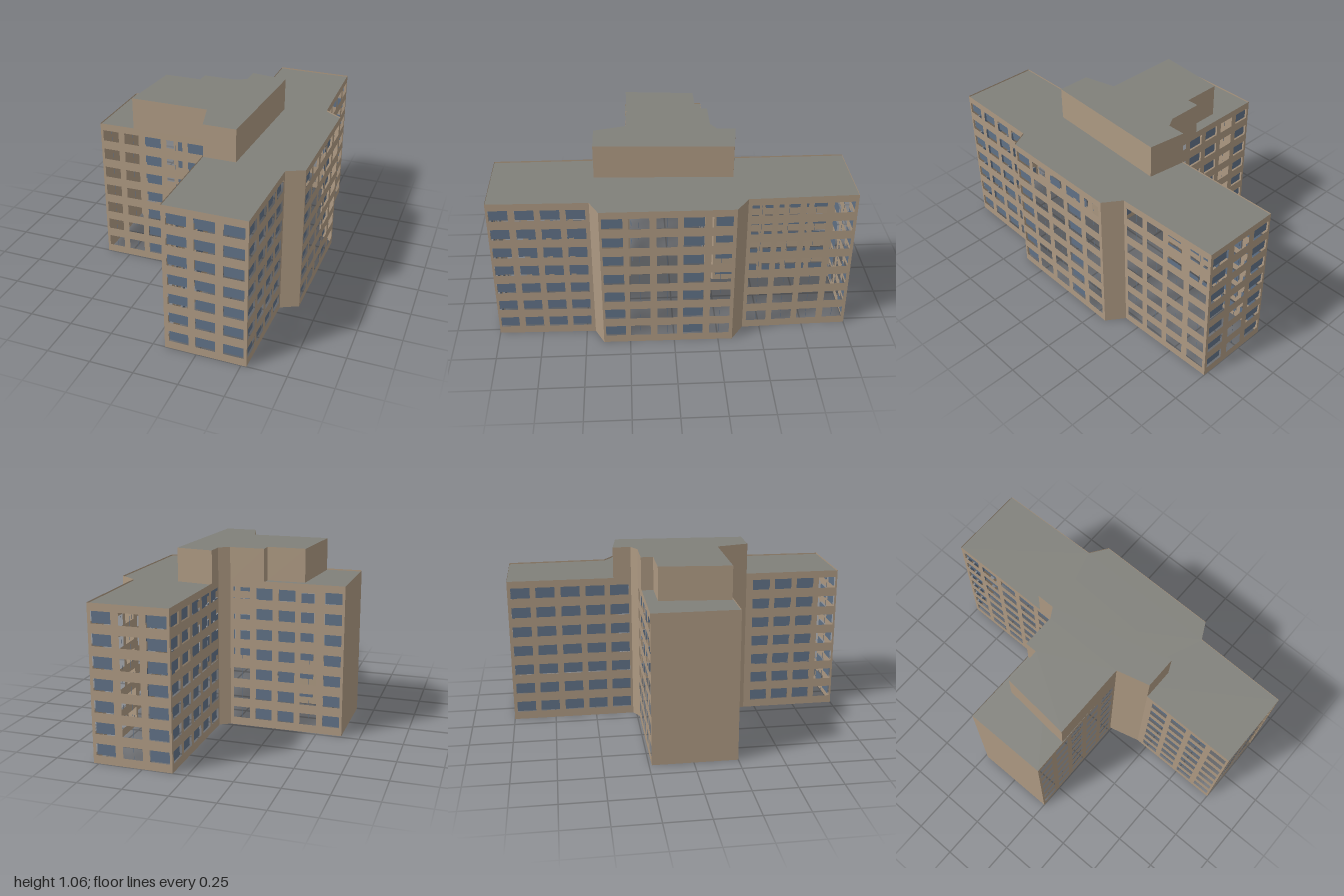
import * as THREE from 'three';

const DS = THREE.DoubleSide;
const H = 0.875, TOP = 1.06, LIP = 0.008, RECESS = 0.012;

// Windows repeat over seven storeys
const FLOORS = 7, SILL = 0.047, WIN_H = 0.066, PITCH = 0.12;

// Footprint corners [x, z], with the windows of the wall that starts there:
// at = column centres along the wall, w = width, open = columns without glass
const FOOTPRINT = [
  { p: [-0.645, 0.25], name: 'stemFrontWall', at: [0.064, 0.199, 0.331, 0.464, 0.596], w: 0.098, open: [0, 1, 3] },
  { p: [0.02, 0.24], name: 'frontInnerChamfer' },
  { p: [0.07, 0.43], name: 'frontWingInnerWall', at: [0.094, 0.23, 0.367, 0.506], w: 0.104, open: [3] },
  { p: [0.07, 1.0], name: 'frontEndWall', at: [0.08, 0.231, 0.386], w: 0.112 },
  { p: [0.53, 1.0], name: 'frontWingOuterWall', at: [0.064, 0.203, 0.34, 0.476], w: 0.104 },
  { p: [0.54, 0.45], name: 'frontOuterChamfer' },
  { p: [0.64, 0.4], name: 'bayWall', at: [0.069, 0.21, 0.36, 0.504, 0.654], w: 0.112, open: [1, 2, 4] },
  { p: [0.645, -0.33], name: 'backOuterChamfer' },
  { p: [0.545, -0.4], name: 'backWingOuterWall', at: [0.078, 0.225, 0.373, 0.525], w: 0.114, open: [0, 1, 2, 3] },
  { p: [0.53, -1.0], name: 'backEndWall', at: [0.074, 0.229, 0.38], w: 0.112, open: [1] },
  { p: [0.08, -1.0], name: 'backWingInnerWall', at: [0.075, 0.22, 0.368, 0.515, 0.66], w: 0.112 },
  { p: [0.08, -0.27], name: 'backInnerChamfer' },
  { p: [0.02, -0.235], name: 'stemBackWall', at: [0.069, 0.201, 0.334, 0.466, 0.601], w: 0.098, open: [1 - 1, 3] },
  { p: [-0.645, -0.235], name: 'stemEndWall' },
];

const PENTHOUSE = [
  [-0.435, 0.242], [0.02, 0.24], [0.07, 0.43], [0.26, 0.43], [0.295, -0.345], [0.08, -0.375],
  [0.08, -0.27], [0.02, -0.235], [-0.18, -0.235], [-0.18, -0.165], [-0.4, -0.165],
];

function rect(x0, y0, x1, y1) {
  return new THREE.Shape([[x0, y0], [x1, y0], [x1, y1], [x0, y1]].map(([x, y]) => new THREE.Vector2(x, y)));
}

export function createModel() {
  const wallMat = new THREE.MeshStandardMaterial({ color: 0xad9982, side: DS });
  wallMat.name = 'tan wall';
  const roofMat = new THREE.MeshStandardMaterial({ color: 0x80807a, side: DS });
  roofMat.name = 'grey roof';
  const glassMat = new THREE.MeshStandardMaterial({ color: 0x607186, side: DS });
  glassMat.name = 'blue glass';

  const model = new THREE.Group();
  model.name = 'building';

  function add(parent, name, geometry, material) {
    const mesh = new THREE.Mesh(geometry, material);
    mesh.name = name;
    parent.add(mesh);
    return mesh;
  }

  // Thin wall from a to b with window holes, and glass set behind it
  function wall(name, a, b, y0, y1, { at = [], w = 0, open = [] } = {}) {
    const dx = b[0] - a[0], dz = b[1] - a[1];
    const group = new THREE.Group();
    group.name = name;
    group.position.set(a[0], 0, a[1]);
    group.rotation.y = Math.atan2(-dz, dx);
    const face = rect(0, y0, Math.hypot(dx, dz), y1);
    const panes = [];
    at.forEach((c, i) => {
      for (let f = 0; f < FLOORS; f++) {
        const y = SILL + f * PITCH;
        face.holes.push(rect(c - w / 2, y, c + w / 2, y + WIN_H));
        // Open windows keep only a thin centre bar
        const half = open.includes(i) ? 0.001 : w / 2;
        panes.push(rect(c - half, y, c + half, y + WIN_H));
      }
    });
    add(group, 'wallFace', new THREE.ShapeGeometry(face), wallMat);
    if (panes.length) add(group, 'windows', new THREE.ShapeGeometry(panes), glassMat).position.z = -RECESS;
    model.add(group);
  }

  function roof(name, points, y) {
    const shape = new THREE.Shape(points.map(([x, z]) => new THREE.Vector2(x, -z)));
    add(model, name, new THREE.ShapeGeometry(shape).rotateX(-Math.PI / 2), roofMat).position.y = y;
  }

  // Main block
  FOOTPRINT.forEach((s, i) => wall(s.name, s.p, FOOTPRINT[(i + 1) % FOOTPRINT.length].p, 0, H, s));
  roof('mainRoof', FOOTPRINT.map((s) => s.p), H - LIP);

  // Rooftop plant storey
  PENTHOUSE.forEach((p, i) => wall('penthouseWall', p, PENTHOUSE[(i + 1) % PENTHOUSE.length], H - LIP, TOP));
  roof('penthouseRoof', PENTHOUSE, TOP);

  return model;
}
